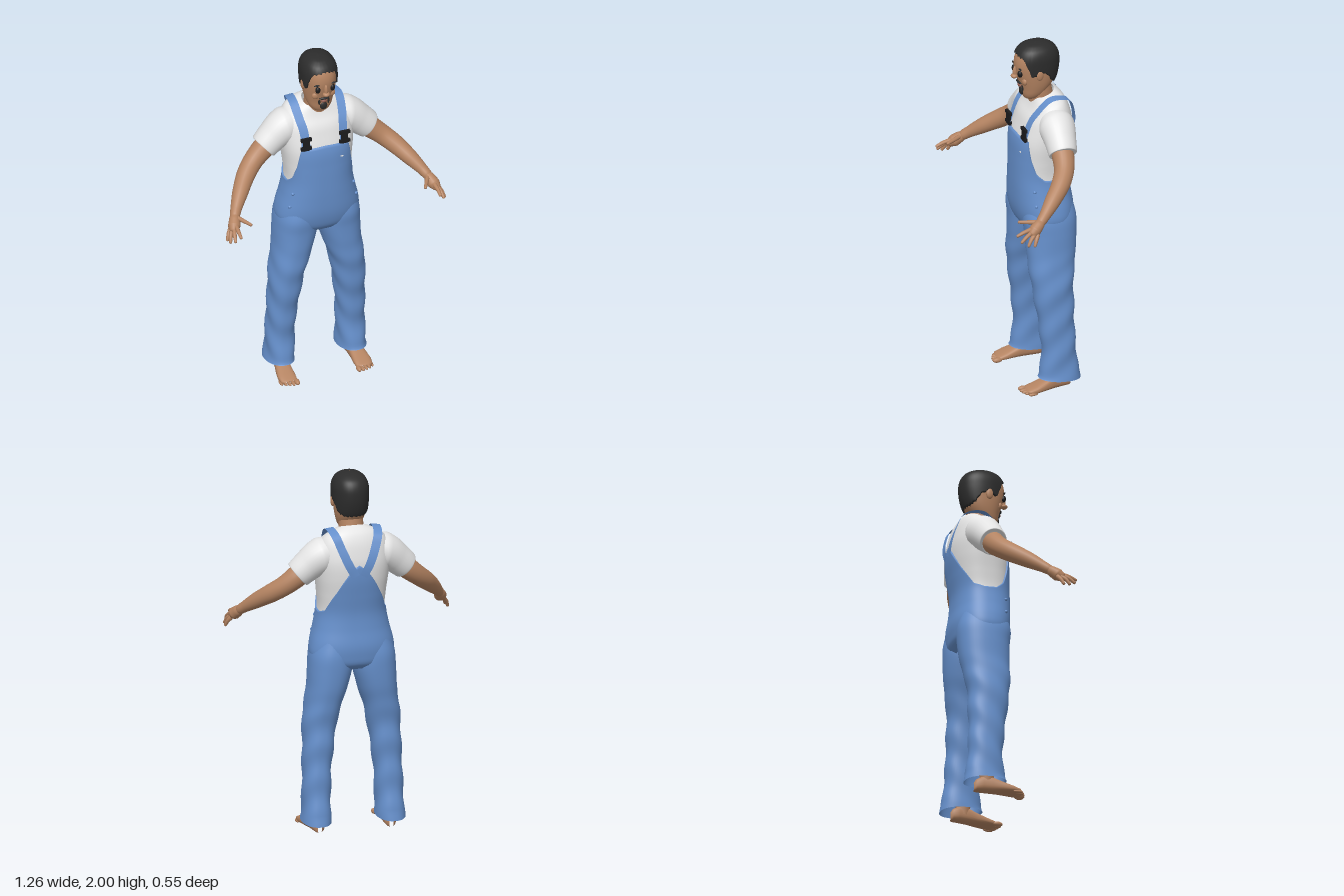
import * as THREE from 'three';

const mat = (name, color, side = THREE.FrontSide) => {
  const m = new THREE.MeshStandardMaterial({ color, side });
  m.name = name;
  return m;
};
const SKIN = mat('skin', 0xb58462), DENIM = mat('denim', 0x6690cc, THREE.DoubleSide), SHIRT = mat('shirtWhite', 0xe4e4e4, THREE.DoubleSide);
const HAIR = mat('hair', 0x2c2c2c, THREE.DoubleSide), BLACK = mat('black', 0x1b1b1d), LIP = mat('lip', 0x8a5548);
const rad = Math.PI / 180;

// Cross-section tables: [y, centre x, half width, front z, back z]
const TORSO = [
  [0.92, 0, 0.16, 0.0, -0.2], [0.95, 0, 0.205, 0.025, -0.235], [1.0, 0, 0.224, 0.042, -0.247], [1.06, 0, 0.219, 0.052, -0.25],
  [1.15, 0, 0.197, 0.056, -0.238], [1.24, 0, 0.182, 0.056, -0.234], [1.34, 0, 0.188, 0.054, -0.247], [1.44, 0, 0.2, 0.048, -0.26],
  [1.53, 0, 0.205, 0.022, -0.26], [1.6, 0, 0.195, -0.003, -0.243], [1.65, 0, 0.167, -0.028, -0.215],
  [1.68, 0, 0.122, -0.042, -0.188], [1.7, 0, 0.078, -0.05, -0.168]];
const LEG = [
  [0.065, 0.207, 0.078, -0.004, -0.247], [0.1, 0.205, 0.077, -0.016, -0.235], [0.2, 0.203, 0.075, -0.03, -0.222],
  [0.35, 0.198, 0.076, -0.02, -0.213], [0.5, 0.187, 0.083, 0.0, -0.212], [0.65, 0.172, 0.093, 0.02, -0.215],
  [0.8, 0.14, 0.105, 0.029, -0.24], [0.92, 0.122, 0.117, 0.034, -0.25], [1.0, 0.118, 0.114, 0.042, -0.25], [1.08, 0.105, 0.105, 0.03, -0.235]];
const HEAD = [
  [1.665, 0, 0.02, -0.02, -0.07], [1.675, 0, 0.042, -0.006, -0.09], [1.7, 0, 0.062, 0.006, -0.115], [1.74, 0, 0.076, 0.014, -0.15],
  [1.78, 0, 0.084, 0.026, -0.175], [1.83, 0, 0.089, 0.04, -0.19], [1.88, 0, 0.091, 0.046, -0.195], [1.925, 0, 0.088, 0.038, -0.19],
  [1.96, 0, 0.073, 0.018, -0.17], [1.98, 0, 0.049, -0.012, -0.138], [1.988, 0, 0.029, -0.038, -0.11], [1.992, 0, 0.001, -0.073, -0.075]];

// Smooth lookup of a section at height y
function section(table, y) {
  const n = table.length - 1;
  let i = 0;
  while (i < n - 1 && y > table[i + 1][0]) i++;
  const a = table[i], b = table[i + 1], h = b[0] - a[0];
  const t = THREE.MathUtils.clamp((y - a[0]) / h, 0, 1), t2 = t * t, t3 = t2 * t;
  const p = table[Math.max(i - 1, 0)], q = table[Math.min(i + 2, n)];
  const [x, w, zf, zb] = [1, 2, 3, 4].map((k) => {
    const m0 = (b[k] - p[k]) / (b[0] - p[0]) * h, m1 = (q[k] - a[k]) / (q[0] - a[0]) * h;
    return (2 * t3 - 3 * t2 + 1) * a[k] + (t3 - 2 * t2 + t) * m0 + (3 * t2 - 2 * t3) * b[k] + (t3 - t2) * m1;
  });
  return { x, w: Math.max(w, 0.0005), z: (zf + zb) / 2, d: (zf - zb) / 2 };
}
const pow = (v, n) => Math.sign(v) * Math.abs(v) ** (2 / n);
const around = (table, y, th, off = 0, n = 2.4) => {
  const s = section(table, y);
  return [s.x + (s.w + off) * pow(Math.cos(th), n), y, s.z + (s.d + off) * pow(Math.sin(th), n)];
};
// Lean of the neckline: lower in front, higher behind
const lean = ([x, y, z]) => [x, y - 0.35 * THREE.MathUtils.smoothstep(y, 1.55, 1.69) * (z + 0.11), z];
// Point on the front (1) or back (-1) of a body at x, y
const surf = (table, x, y, side, off = 0, n = 2.4) => {
  const s = section(table, y), r = Math.min(Math.abs(x) / s.w, 1);
  return [x, y, s.z + side * ((1 - r ** n) ** (1 / n) * s.d + off)];
};
const lerpTable = (t, v) => {
  let i = 0;
  while (i < t.length - 2 && v > t[i + 1][0]) i++;
  return THREE.MathUtils.mapLinear(v, t[i][0], t[i + 1][0], t[i][1], t[i + 1][1]);
};

// Skin a grid of points; fn(u, v) with u, v in 0..1
function grid(nu, nv, fn, closed = true) {
  const pos = [], idx = [], cols = closed ? nu : nu + 1;
  for (let j = 0; j <= nv; j++) for (let i = 0; i < cols; i++) pos.push(...fn(i / nu, j / nv));
  for (let j = 0; j < nv; j++) for (let i = 0; i < nu; i++) {
    const a = j * cols + i, b = j * cols + (i + 1) % cols, c = a + cols, d = b + cols;
    idx.push(a, c, b, b, c, d);
  }
  const g = new THREE.BufferGeometry();
  g.setAttribute('position', new THREE.Float32BufferAttribute(pos, 3));
  g.setIndex(idx);
  g.computeVertexNormals();
  return g;
}
// Tapered round limb through [x, y, z, radius] points
function limb(pts, nu = 20, nv = 28) {
  const curve = new THREE.CatmullRomCurve3(pts.map((p) => new THREE.Vector3(p[0], p[1], p[2])));
  const f = curve.computeFrenetFrames(nv);
  return grid(nu, nv, (u, v) => {
    const j = Math.round(v * nv), k = v * (pts.length - 1), i = Math.min(Math.floor(k), pts.length - 2);
    const r = THREE.MathUtils.lerp(pts[i][3], pts[i + 1][3], k - i), th = u * 2 * Math.PI;
    return curve.getPoint(v).addScaledVector(f.normals[j], r * Math.cos(th)).addScaledVector(f.binormals[j], -r * Math.sin(th)).toArray();
  });
}
const ball = (x, y, z, a, b, c) => new THREE.SphereGeometry(1, 20, 14).scale(a, b, c).translate(x, y, z);
const box = (x, y, z, a, b, c) => new THREE.BoxGeometry(a, b, c).translate(x, y, z);

export function createModel() {
  const root = new THREE.Group();
  root.name = 'man';
  const add = (name, geo, m) => {
    const mesh = new THREE.Mesh(geo, m);
    mesh.name = name;
    root.add(mesh);
  };
  const pair = (name, geo, m) => {
    add('left' + name, geo, m);
    const g = geo.clone().scale(-1, 1, 1), ix = g.index.array;
    for (let i = 0; i < ix.length; i += 3) [ix[i], ix[i + 1]] = [ix[i + 1], ix[i]];
    add('right' + name, g, m);
  };

  // Shirt
  add('shirt', grid(72, 50, (u, v) => lean(around(TORSO, 1.15 + 0.55 * v, u * 2 * Math.PI))), SHIRT);
  pair('Sleeve', limb([[0.1, 1.565, -0.125, 0.085], [0.18, 1.55, -0.125, 0.1], [0.245, 1.5, -0.118, 0.086],
    [0.302, 1.45, -0.11, 0.075], [0.298, 1.453, -0.11, 0.055]], 28, 32), SHIRT);

  // Overalls: bib shell whose upper edge varies around the body
  const bibTop = [[-90, 1.52], [-78, 1.47], [-58, 1.37], [-30, 1.255], [-8, 1.235], [10, 1.24], [28, 1.28], [42, 1.36], [54, 1.465], [90, 1.475]];
  add('overallsBody', grid(120, 44, (u, v) => {
    const th = u * 2 * Math.PI, deg = Math.asin(Math.sin(th)) / rad;
    return around(TORSO, THREE.MathUtils.lerp(0.92, lerpTable(bibTop, deg), Math.min(v * 44 / 43, 1)), th, v === 1 ? -0.003 : 0.008);
  }), DENIM);
  // Trouser legs with soft folds
  pair('TrouserLeg', grid(44, 64, (u, v) => {
    const y = 0.065 + 1.015 * v, th = u * 2 * Math.PI;
    const fold = 0.0035 * Math.sin(y * 34 + 3 * Math.sin(th)) * THREE.MathUtils.smoothstep(0.85 - y, 0, 0.2);
    const p = around(LEG, y, th, fold, 2.3);
    if (v === 0) p[1] += 0.012 * Math.sin(th);
    return p;
  }), DENIM);

  // Shoulder straps
  const strapPts = [surf(TORSO, 0.11, 1.46, 1, 0.012), surf(TORSO, 0.11, 1.53, 1, 0.012), surf(TORSO, 0.114, 1.59, 1, 0.013), surf(TORSO, 0.122, 1.645, 1, 0.018),
    [0.13, 1.698, -0.11], surf(TORSO, 0.118, 1.65, -1, 0.018), surf(TORSO, 0.095, 1.6, -1, 0.014), surf(TORSO, 0.06, 1.53, -1, 0.013), surf(TORSO, 0.022, 1.46, -1, 0.012)];
  const strap = new THREE.CatmullRomCurve3(strapPts.map((p) => new THREE.Vector3(...lean(p))));
  pair('Strap', grid(2, 48, (u, v) => {
    const p = strap.getPoint(v), n = p.clone().sub(new THREE.Vector3(p.x * 0.85, 1.5, -0.11)).normalize();
    const across = strap.getTangent(v).cross(n).normalize();
    return p.addScaledVector(across, (u - 0.5) * 0.048).toArray();
  }, false), DENIM);

  // Buckles on the bib corners
  const bz = surf(TORSO, 0.11, 1.5, 1, 0.02)[2];
  pair('BuckleClip', box(0.11, 1.505, bz, 0.036, 0.075, 0.014), BLACK);
  for (const y of [1.48, 1.535]) pair('BuckleBar', box(0.11, y, bz, 0.06, 0.018, 0.016), BLACK);
  // Side buttons and a small bib tag
  for (const y of [1.1, 1.18]) {
    const p = around(TORSO, y, 32 * rad, 0.01);
    pair('SideButton', ball(p[0], p[1], p[2], 0.009, 0.009, 0.009), DENIM);
  }
  const tag = surf(TORSO, 0.09, 1.395, 1, 0.01);
  add('bibTag', box(tag[0], tag[1], tag[2], 0.018, 0.006, 0.004), SHIRT);

  // Neck, head and hair
  add('neck', limb([[0, 1.6, -0.115, 0.072], [0, 1.68, -0.1, 0.068], [0, 1.78, -0.085, 0.066]], 28, 12), SKIN);
  add('head', grid(48, 50, (u, v) => around(HEAD, 1.665 + 0.327 * Math.sin(v * Math.PI / 2), u * 2 * Math.PI, 0, 2.2)), SKIN);
  const hairline = [[-90, 1.77], [-55, 1.77], [-30, 1.79], [-15, 1.83], [8, 1.86], [14, 1.83], [27, 1.83], [33, 1.88], [50, 1.93], [90, 1.945]];
  add('hair', grid(80, 36, (u, v) => {
    const th = u * 2 * Math.PI, deg = Math.asin(Math.sin(th)) / rad, w = Math.max(v * 36 - 1, 0) / 35;
    const low = lerpTable(hairline, deg) + 0.004 * Math.sin(u * 80 * 2.1);
    const p = around(HEAD, THREE.MathUtils.lerp(low, 1.992, Math.sin(w * Math.PI / 2)), th, v === 0 ? -0.003 : 0.009 * (1 - w ** 8), 2.2);
    p[1] += 0.008 * w;
    return p;
  }), HAIR);

  // Face
  const fz = (x, y) => surf(HEAD, x, y, 1, 0, 2.2)[2];
  pair('Ear', ball(0.093, 1.835, -0.062, 0.011, 0.032, 0.02), SKIN);
  add('noseBridge', ball(0, 1.835, 0.045, 0.011, 0.035, 0.014), SKIN);
  add('noseTip', ball(0, 1.812, 0.05, 0.02, 0.013, 0.019), SKIN);
  pair('Eye', ball(0.042, 1.838, fz(0.042, 1.838) + 0.002, 0.014, 0.02, 0.014), BLACK);
  pair('Eyebrow', ball(0.043, 1.868, fz(0.043, 1.868), 0.022, 0.005, 0.006), HAIR);
  pair('Cheek', ball(0.045, 1.79, fz(0.045, 1.79) - 0.008, 0.022, 0.022, 0.014), SKIN);
  add('moustache', ball(0, 1.772, 0.022, 0.03, 0.008, 0.012), HAIR);
  add('mouth', ball(0, 1.752, 0.018, 0.018, 0.009, 0.011), LIP);
  add('goatee', ball(0, 1.717, 0.009, 0.021, 0.024, 0.012), HAIR);
  pair('BeardSide', ball(0.026, 1.748, fz(0.026, 1.748) - 0.001, 0.006, 0.022, 0.007), HAIR);

  // Arms and hands
  pair('Arm', limb([[0.25, 1.49, -0.112, 0.06], [0.31, 1.435, -0.108, 0.06], [0.37, 1.385, -0.088, 0.054], [0.43, 1.335, -0.042, 0.051],
    [0.49, 1.278, 0.03, 0.043], [0.535, 1.23, 0.09, 0.031], [0.553, 1.208, 0.118, 0.028], [0.566, 1.19, 0.138, 0.02]], 22, 36), SKIN);
  pair('Palm', limb([[0.548, 1.215, 0.108, 0.02], [0.562, 1.194, 0.136, 0.03], [0.575, 1.172, 0.165, 0.034], [0.588, 1.154, 0.19, 0.02], [0.591, 1.15, 0.195, 0.001]]), SKIN);
  const fingers = {
    Thumb: [[0.552, 1.205, 0.135], [0.525, 1.202, 0.185], [0.502, 1.2, 0.23]],
    IndexFinger: [[0.57, 1.18, 0.182], [0.574, 1.17, 0.23], [0.574, 1.155, 0.268]],
    MiddleFinger: [[0.582, 1.168, 0.182], [0.594, 1.15, 0.222], [0.6, 1.125, 0.252]],
    RingFinger: [[0.592, 1.158, 0.172], [0.608, 1.135, 0.2], [0.617, 1.105, 0.219]],
    LittleFinger: [[0.594, 1.154, 0.155], [0.612, 1.128, 0.172], [0.622, 1.1, 0.184]] };
  for (const [name, [a, b, c]] of Object.entries(fingers)) {
    const tip = c.map((t, i) => t + (t - b[i]) * 0.12);
    pair(name, limb([[...a, 0.013], [...b, 0.011], [...c, 0.008], [...tip, 0.0005]], 10, 12), SKIN);
  }

  // Feet: sections [z, centre x, half width, top height] from toe to heel
  const foot = [[0.07, 0.216, 0.03, 0.022], [0.06, 0.217, 0.046, 0.03], [0.02, 0.218, 0.05, 0.043], [-0.04, 0.214, 0.044, 0.066],
    [-0.09, 0.207, 0.038, 0.088], [-0.14, 0.202, 0.036, 0.09], [-0.175, 0.2, 0.03, 0.07], [-0.19, 0.2, 0.012, 0.045]];
  pair('Foot', grid(28, foot.length - 1, (u, v) => {
    const [z, cx, w, h] = foot[Math.round(v * (foot.length - 1))], th = u * 2 * Math.PI;
    return [cx + w * pow(Math.cos(th), 2.6), 0.004 + (h / 2) * (1 + pow(Math.sin(th), 2.6)), z];
  }), SKIN);
  pair('Ankle', limb([[0.202, 0.04, -0.115, 0.036], [0.203, 0.1, -0.115, 0.04], [0.203, 0.18, -0.115, 0.045]], 18, 8), SKIN);
  for (let i = 0; i < 5; i++) {
    const r = i === 0 ? 0.014 : 0.0105 - i * 0.0005;
    pair('Toe' + (i + 1), ball(0.179 + i * 0.0205 - (i === 0 ? 0.001 : 0), r + 0.001, 0.074 - i * i * 0.0018, r, r, 0.027), SKIN);
  }
  return root;
}
